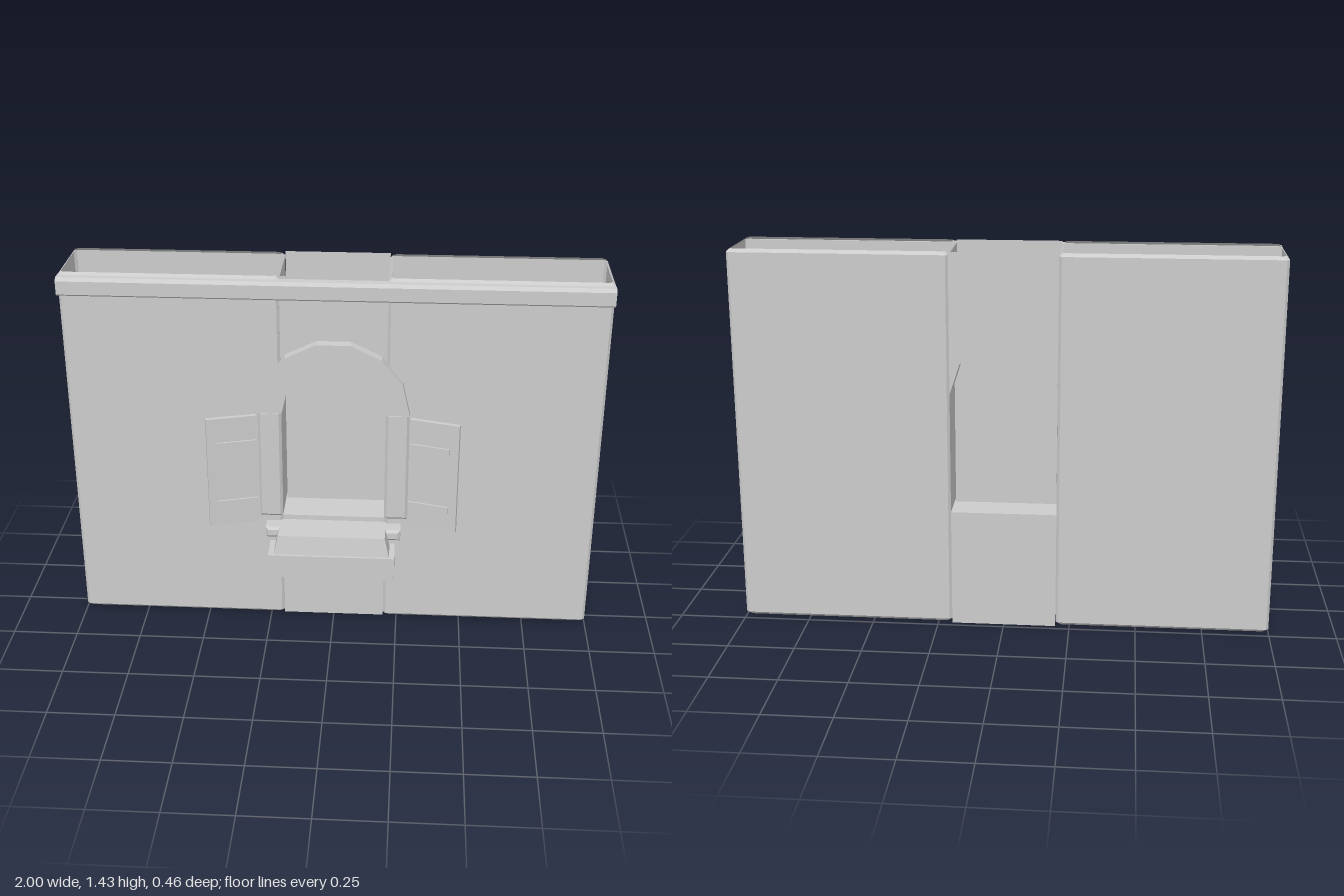
import * as THREE from 'three';

const stone = new THREE.MeshStandardMaterial({ color: 0xcccccc, side: THREE.DoubleSide, flatShading: true });
stone.name = 'plain grey';

function add(parent, name, geometry, x = 0, y = 0, z = 0) {
  const mesh = new THREE.Mesh(geometry, stone);
  mesh.name = name;
  mesh.position.set(x, y, z);
  parent.add(mesh);
  return mesh;
}

// Box with chamfered edges, centred on the origin
function bevelBox(w, h, d, b) {
  const x = w / 2 - b, y = h / 2 - b;
  const shape = new THREE.Shape([[-x, -y], [x, -y], [x, y], [-x, y]].map(p => new THREE.Vector2(...p)));
  const g = new THREE.ExtrudeGeometry(shape, {
    depth: d - 2 * b, bevelEnabled: true, bevelSegments: 1, bevelSize: b, bevelThickness: b
  });
  return g.translate(0, 0, b - d / 2);
}

// Skin between rings of equal point count; closed joins each ring's ends
function loft(rings, closed) {
  const pos = [];
  for (let r = 0; r < rings.length - 1; r++) {
    const a = rings[r], b = rings[r + 1], n = a.length;
    for (let i = 0; i < (closed ? n : n - 1); i++) {
      const j = (i + 1) % n;
      pos.push(...a[i], ...b[j], ...a[j], ...a[i], ...b[i], ...b[j]);
    }
  }
  const g = new THREE.BufferGeometry();
  g.setAttribute('position', new THREE.Float32BufferAttribute(pos, 3));
  g.computeVertexNormals();
  return g;
}

// Rectangle ring with cut corners at one height
function cutRing(x0, x1, z0, z1, y, inset, c) {
  x0 += inset; x1 -= inset; z0 += inset; z1 -= inset;
  return [[x0 + c, z0], [x1 - c, z0], [x1, z0 + c], [x1, z1 - c],
    [x1 - c, z1], [x0 + c, z1], [x0, z1 - c], [x0, z0 + c]].map(([x, z]) => [x, y, z]);
}

// Points of a half circle from right to left
function arc(radius, segments, y) {
  return Array.from({ length: segments + 1 }, (_, i) => {
    const a = Math.PI * i / segments;
    return new THREE.Vector2(radius * Math.cos(a), y + radius * Math.sin(a));
  });
}

export function createModel() {
  const root = new THREE.Group();
  root.name = 'wallWithWindow';
  const SILL = 0.45, SPRING = 0.905, TOP = 1.43, HALF = 0.197, BACK = -0.228, FRONT = 0.045;

  // Hollow side panels, open above and below
  for (const [name, x0, x1] of [['leftWallPanel', 0.197, 1], ['rightWallPanel', -1, -0.197]]) {
    const rings = [[0.004, 0.012], [0.016, 0], [TOP - 0.012, 0], [TOP, 0.012]]
      .map(([y, inset]) => cutRing(x0, x1, -0.23, 0.056, y, inset, 0.01));
    add(root, name, loft(rings, true));
  }

  // Middle wall: front and back sheets above and below the opening
  const arch = arc(HALF, 5, SPRING);
  const spandrel = new THREE.Shape([...arch, new THREE.Vector2(-HALF, TOP), new THREE.Vector2(HALF, TOP)]);
  for (const [side, z] of [['front', FRONT], ['back', BACK]]) {
    const upper = new THREE.ShapeGeometry(spandrel);
    const lower = new THREE.PlaneGeometry(2 * HALF, SILL);
    if (side === 'back') {
      upper.rotateY(Math.PI);
      lower.rotateY(Math.PI);
    }
    add(root, side + 'WallAboveWindow', upper, 0, 0, z);
    add(root, side + 'WallBelowWindow', lower, 0, SILL / 2, z);
  }

  // Lining of the arched opening
  const outline = [new THREE.Vector2(HALF, SILL), ...arch, new THREE.Vector2(-HALF, SILL)];
  const ringAt = z => outline.map(p => [p.x, p.y, z]);
  add(root, 'windowLining', loft([ringAt(FRONT), ringAt(BACK)], true));

  // Window pane set within the opening
  add(root, 'windowPane', new THREE.BoxGeometry(0.385, 0.7, 0.014), 0, 0.8, -0.1);

  // Cornice along the top
  const profile = new THREE.Shape([[0.045, 1.352], [0.082, 1.352], [0.088, 1.358], [0.088, 1.408],
    [0.076, 1.42], [0.045, 1.42]].map(([z, y]) => new THREE.Vector2(-z, y)));
  const cornice = new THREE.ExtrudeGeometry(profile, { depth: 2, bevelEnabled: false });
  cornice.rotateY(Math.PI / 2).translate(-1, 0, 0);
  add(root, 'cornice', cornice);

  // Arched surround
  const surround = new THREE.Shape([...arc(0.285, 7, SPRING), ...arc(0.192, 7, SPRING).reverse()]);
  add(root, 'archSurround', new THREE.ExtrudeGeometry(surround, { depth: 0.05, bevelEnabled: false }), 0, 0, 0.036);

  // Sill below the window
  add(root, 'windowSill', bevelBox(0.52, 0.045, 0.105, 0.01), 0, 0.408, 0.063);

  for (const s of [1, -1]) {
    const side = s > 0 ? 'left' : 'right';
    // Jamb
    add(root, side + 'Jamb', bevelBox(0.09, 0.45, 0.055, 0.01), s * 0.24, 0.682, 0.045);

    // Shutter swung outward, with two battens
    const shutter = new THREE.Group();
    shutter.name = side + 'Shutter';
    shutter.position.set(s * 0.287, 0.675, 0.09);
    shutter.rotation.y = -s * 0.27;
    add(shutter, 'shutterBoard', new THREE.BoxGeometry(0.19, 0.45, 0.016), s * 0.095, 0, 0);
    for (const y of [0.115, -0.13]) {
      add(shutter, 'shutterBatten', new THREE.BoxGeometry(0.155, 0.024, 0.008), s * 0.08, y, 0.011);
    }
    root.add(shutter);
  }

  // Flower box with a tapered mound on top
  add(root, 'flowerBox', new THREE.BoxGeometry(0.48, 0.095, 0.115), 0, 0.328, 0.173);
  const mound = new THREE.BoxGeometry(0.44, 0.075, 0.094);
  const p = mound.attributes.position;
  for (let i = 0; i < p.count; i++) {
    if (p.getY(i) > 0) p.setXYZ(i, p.getX(i) * 0.92, p.getY(i), p.getZ(i) * 0.74);
  }
  mound.computeVertexNormals();
  add(root, 'flowerMound', mound, 0, 0.4125, 0.174);

  return root;
}
